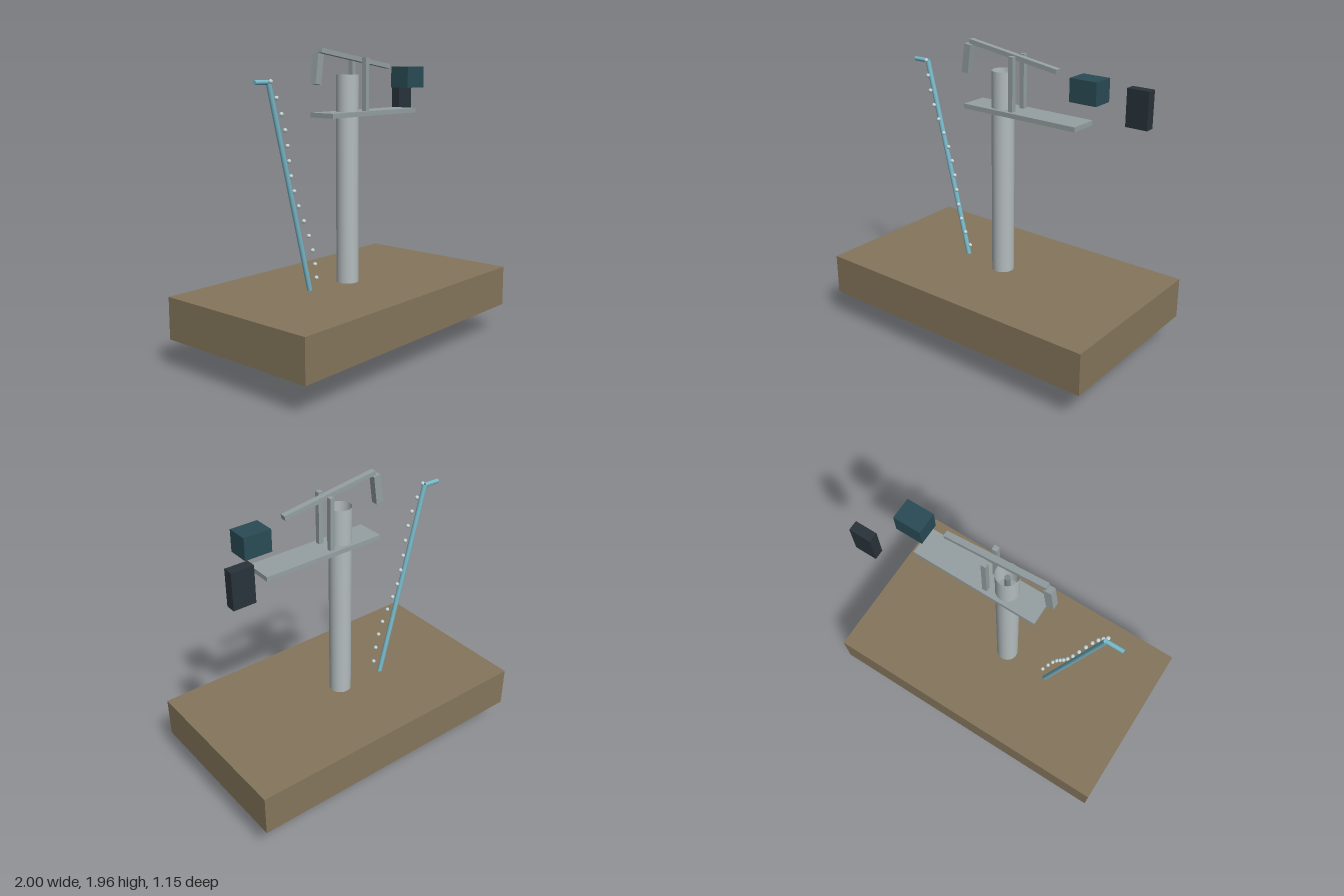
import * as THREE from 'three';

const mat = (color, extra = {}) => new THREE.MeshStandardMaterial({ color, ...extra });

export function createModel() {
  const model = new THREE.Group();
  const steel = mat(0x95a0a2);
  const blue = mat(0x78b8c8);

  const add = (name, geometry, material, x, y, z, tilt = 0) => {
    const mesh = new THREE.Mesh(geometry, material);
    mesh.name = name;
    mesh.position.set(x, y, z);
    mesh.rotation.z = tilt;
    model.add(mesh);
    return mesh;
  };
  const box = (name, w, h, d, ...rest) => add(name, new THREE.BoxGeometry(w, h, d), ...rest);

  // round bar between two points
  const bar = (name, a, b, radius, material, sides = 16) => {
    const dir = b.clone().sub(a);
    const mid = a.clone().add(b).multiplyScalar(0.5);
    const mesh = add(name, new THREE.CylinderGeometry(radius, radius, dir.length(), sides), material, mid.x, mid.y, mid.z);
    mesh.quaternion.setFromUnitVectors(new THREE.Vector3(0, 1, 0), dir.normalize());
  };

  // block of ground
  box('ground', 2, 0.27, 1.15, mat(0x85765c), 0, 0.327, 0);

  // open well casing with the pump and its rod inside
  add('casing', new THREE.CylinderGeometry(0.072, 0.072, 1.755, 32, 1, true),
    mat(0xb4bcbe, { side: THREE.DoubleSide }), 0, 0.9175, 0);
  add('pumpBody', new THREE.CylinderGeometry(0.033, 0.033, 0.2, 16), mat(0x5c666c), 0, 0.1, 0);
  add('pumpRod', new THREE.CylinderGeometry(0.018, 0.018, 1.55, 12), mat(0x7c878a), 0, 0.975, 0);

  // deck, pair of posts, rocking beam and hanging handle
  box('deck', 0.835, 0.03, 0.186, steel, 0.178, 1.55, 0);
  for (const side of [-1, 1]) {
    box('post', 0.032, 0.34, 0.032, steel, 0.112, 1.732, side * 0.056);
  }
  box('beam', 0.67, 0.029, 0.038, steel, 0.077, 1.894, 0, -0.15);
  box('handle', 0.05, 0.185, 0.045, steel, -0.278, 1.832, 0, -0.14);

  // separate boxes beside the deck
  box('motorBox', 0.18, 0.14, 0.14, mat(0x2a4b56), 0.626, 1.77, 0);
  box('controlBox', 0.144, 0.232, 0.064, mat(0x29333a), 0.838, 1.653, -0.21);

  // sloping pipe with spout
  const elbow = new THREE.Vector3(-0.655, 1.76, -0.03);
  bar('pipe', new THREE.Vector3(-0.322, 0.45, -0.03), elbow, 0.016, blue);
  bar('spout', elbow, new THREE.Vector3(-0.765, 1.76, -0.03), 0.014, blue);

  // wavy string of beads rising along the pipe
  const bead = new THREE.SphereGeometry(0.013, 16, 12);
  const beadMaterial = mat(0xc4d4d6);
  for (let i = 0; i < 14; i++) {
    add('bead', bead, beadMaterial, -0.29 - 0.028 * i, 0.54 + 0.0942 * i, -0.005 + 0.022 * Math.sin(0.75 * i));
  }
  return model;
}
